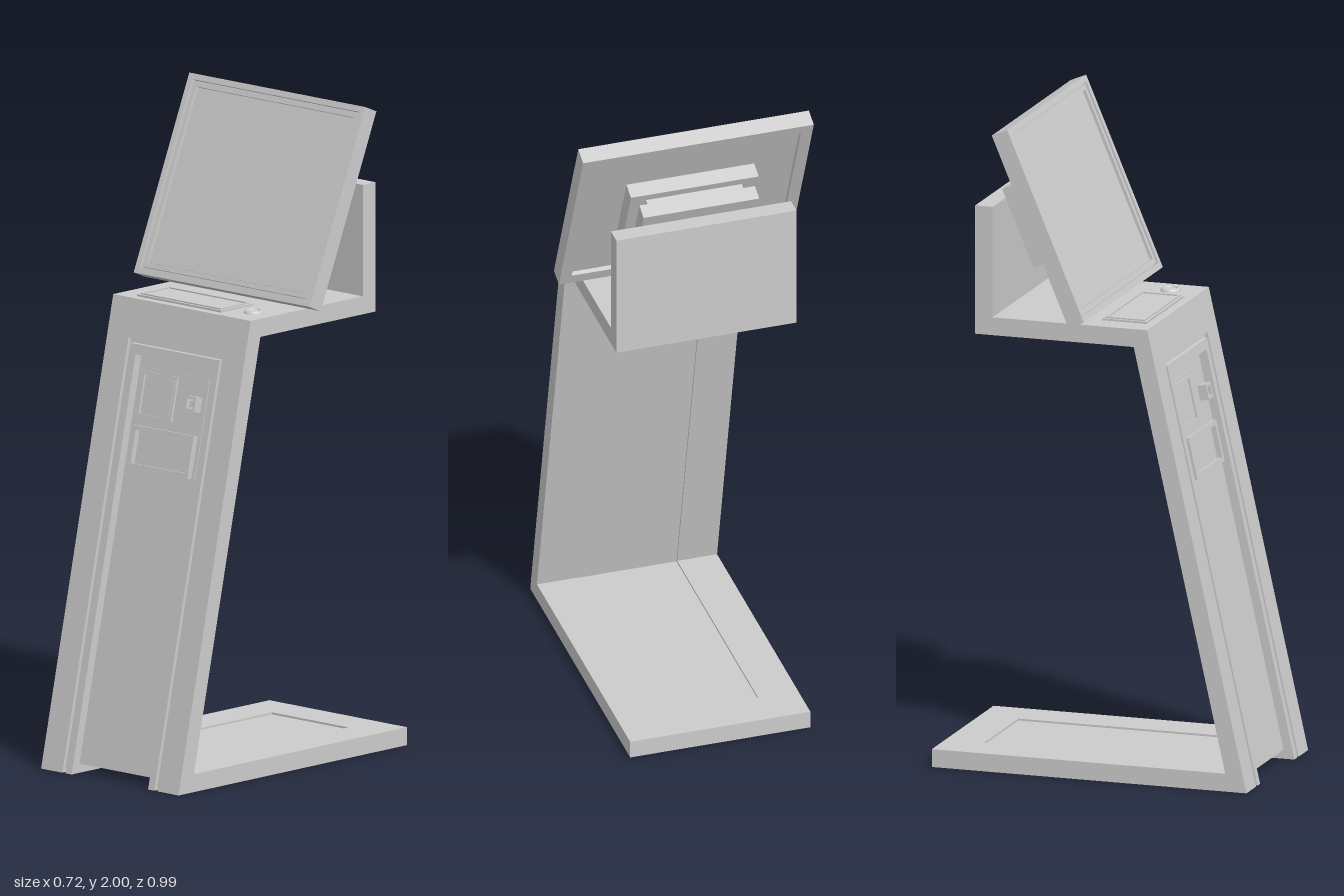
import * as THREE from 'three';

const grey = new THREE.MeshStandardMaterial({ color: 0xcccccc });
const SLOPE = 0.2243;
const frontZ = y => 0.497 - SLOPE * y;           // front face of the leaning leg
const innerZ = y => 0.43 - SLOPE * (y - 0.055);  // rear face of the leg

function add(parent, name, geometry, x = 0, y = 0, z = 0) {
  const mesh = new THREE.Mesh(geometry, grey);
  mesh.name = name;
  mesh.position.set(x, y, z);
  parent.add(mesh);
  return mesh;
}

const box = (w, h, d) => new THREE.BoxGeometry(w, h, d);

// Rectangular frame, back on z = 0, front on z = d
function frame(w, h, border, d) {
  const rect = (T, a, b) => new T([[-a, -b], [a, -b], [a, b], [-a, b]].map(p => new THREE.Vector2(...p)));
  const shape = rect(THREE.Shape, w / 2, h / 2);
  shape.holes.push(rect(THREE.Path, w / 2 - border, h / 2 - border));
  return new THREE.ExtrudeGeometry(shape, { depth: d, bevelEnabled: false });
}

// One slice of the folded body between x0 and x1.
// steps: [height on leg, end on underside, depth]; rear: depth of the panel sunk in the inner side
function bodySlice(parent, name, x0, x1, steps, rear) {
  const pts = [[-0.305, 1.4], [frontZ(1.4), 1.4]];
  let d = 0;
  const under = [];
  for (const [y, end, depth] of steps) {
    pts.push([frontZ(y) - d, y], [frontZ(y) - depth, y]);
    under.unshift([end, depth], [end, d]);
    d = depth;
  }
  pts.push([frontZ(d) - d, d], ...under, [-0.497, 0], [-0.497, 0.055]);
  if (rear) {
    pts.push([-0.375, 0.055], [-0.375, 0.055 - rear], [innerZ(0.055 - rear) + rear, 0.055 - rear],
      [innerZ(1.27) + rear, 1.27], [innerZ(1.27), 1.27]);
  } else pts.push([innerZ(0.055), 0.055]);
  pts.push([innerZ(1.345), 1.345], [-0.36, 1.345], [-0.36, 1.74], [-0.305, 1.74]);
  const shape = new THREE.Shape(pts.map(p => new THREE.Vector2(...p)));
  const g = new THREE.ExtrudeGeometry(shape, { depth: x1 - x0, bevelEnabled: false });
  g.rotateY(-Math.PI / 2);
  add(parent, name, g, x1);
}

function createBody() {
  const body = new THREE.Group();
  body.name = 'body';
  const groove = [1.285, -0.42, 0.012];
  const strip = [1.27, -0.405, 0];
  const panel = [1.24, -0.385, 0.028];
  const bands = [
    ['side', 0.195, 0.282, []],
    ['groove', 0.182, 0.195, [groove]],
    ['trimStrip', 0.157, 0.182, [groove, strip]],
  ];
  for (const [name, a, b, steps] of bands) {
    bodySlice(body, name + 'Left', a, b, steps, 0);
    bodySlice(body, name + 'Right', -b, -a, steps, 0);
  }
  bodySlice(body, 'centrePanel', -0.157, 0.157, [groove, strip, panel], 0.006);
  return body;
}

// Card reader, scanner and slot on the recessed front panel
function createFrontDevices() {
  const g = new THREE.Group();
  g.name = 'frontDevices';
  g.position.set(0, 1.05, frontZ(1.05) - 0.028);
  g.rotation.x = -Math.atan(SLOPE);
  add(g, 'devicePlate', box(0.28, 0.312, 0.012), -0.005, 0, 0);
  add(g, 'readerFrame', frame(0.14, 0.135, 0.007, 0.008), -0.058, 0.077, 0.006);
  add(g, 'readerFace', box(0.115, 0.11, 0.008), -0.058, 0.077, 0.006);
  add(g, 'scannerFrame', frame(0.042, 0.046, 0.008, 0.028), 0.096, 0.075, 0.006);
  add(g, 'scannerButton', box(0.018, 0.018, 0.024), 0.096, 0.075, 0.012);
  add(g, 'slotFrame', frame(0.25, 0.128, 0.014, 0.018), -0.003, -0.083, 0.006);
  add(g, 'slotFace', box(0.21, 0.088, 0.008), -0.003, -0.083, 0.006);
  return g;
}

// Pad and push button lying on the shelf
function createShelfDevices() {
  const g = new THREE.Group();
  g.name = 'shelfDevices';
  g.position.y = 1.4;
  const flat = geo => geo.rotateX(-Math.PI / 2);
  add(g, 'padRim', flat(frame(0.345, 0.14, 0.008, 0.006)), -0.037, 0, 0.086);
  add(g, 'padFrame', flat(frame(0.329, 0.124, 0.006, 0.01)), -0.037, 0, 0.086);
  add(g, 'padFace', box(0.317, 0.012, 0.112), -0.037, 0, 0.086);
  const ring = [[0.016, 0], [0.018, 0.008], [0.024, 0.01], [0.03, 0.005], [0.031, 0]];
  add(g, 'buttonRing', new THREE.LatheGeometry(ring.map(p => new THREE.Vector2(...p)).reverse(), 32), 0.206, 0, 0.089)
    .material = new THREE.MeshStandardMaterial({ color: 0xcccccc, side: THREE.DoubleSide });
  add(g, 'buttonCap', new THREE.CylinderGeometry(0.016, 0.016, 0.012, 32), 0.206, 0, 0.089);
  return g;
}

// Tilted monitor with its stepped mounting blocks
function createMonitor() {
  const g = new THREE.Group();
  g.name = 'monitor';
  g.position.set(0, 1.704, -0.135);
  g.rotation.x = -0.4;
  add(g, 'housing', frame(0.722, 0.622, 0.018, 0.053), 0, 0, -0.0265);
  add(g, 'housingCore', box(0.69, 0.59, 0.022), 0, 0, -0.001);
  add(g, 'rearRim', frame(0.69, 0.59, 0.02, 0.016), 0, 0, -0.0265);
  add(g, 'bezel', frame(0.676, 0.576, 0.014, 0.014), 0, 0, 0.008);
  add(g, 'display', box(0.644, 0.544, 0.008), 0, 0, 0.009);
  add(g, 'mountPlate', box(0.4, 0.268, 0.05), 0, 0.003, -0.036);
  add(g, 'mountSpacer', box(0.3, 0.22, 0.04), 0, 0.002, -0.075);
  add(g, 'mountBlock', box(0.362, 0.256, 0.047), 0, 0.002, -0.1115);
  return g;
}

// Short pivot joining the monitor mount to the rear wall
function createPivot() {
  const g = new THREE.Group();
  g.name = 'pivot';
  add(g, 'pivotArm', new THREE.CylinderGeometry(0.02, 0.02, 0.06, 24).rotateX(Math.PI / 2), 0, 1.675, -0.277);
  add(g, 'pivotFlange', box(0.12, 0.05, 0.012), 0, 1.675, -0.299);
  return g;
}

export function createModel() {
  const model = new THREE.Group();
  model.name = 'selfServiceKiosk';
  model.add(createBody(), createFrontDevices(), createShelfDevices(), createMonitor(), createPivot());
  return model;
}
